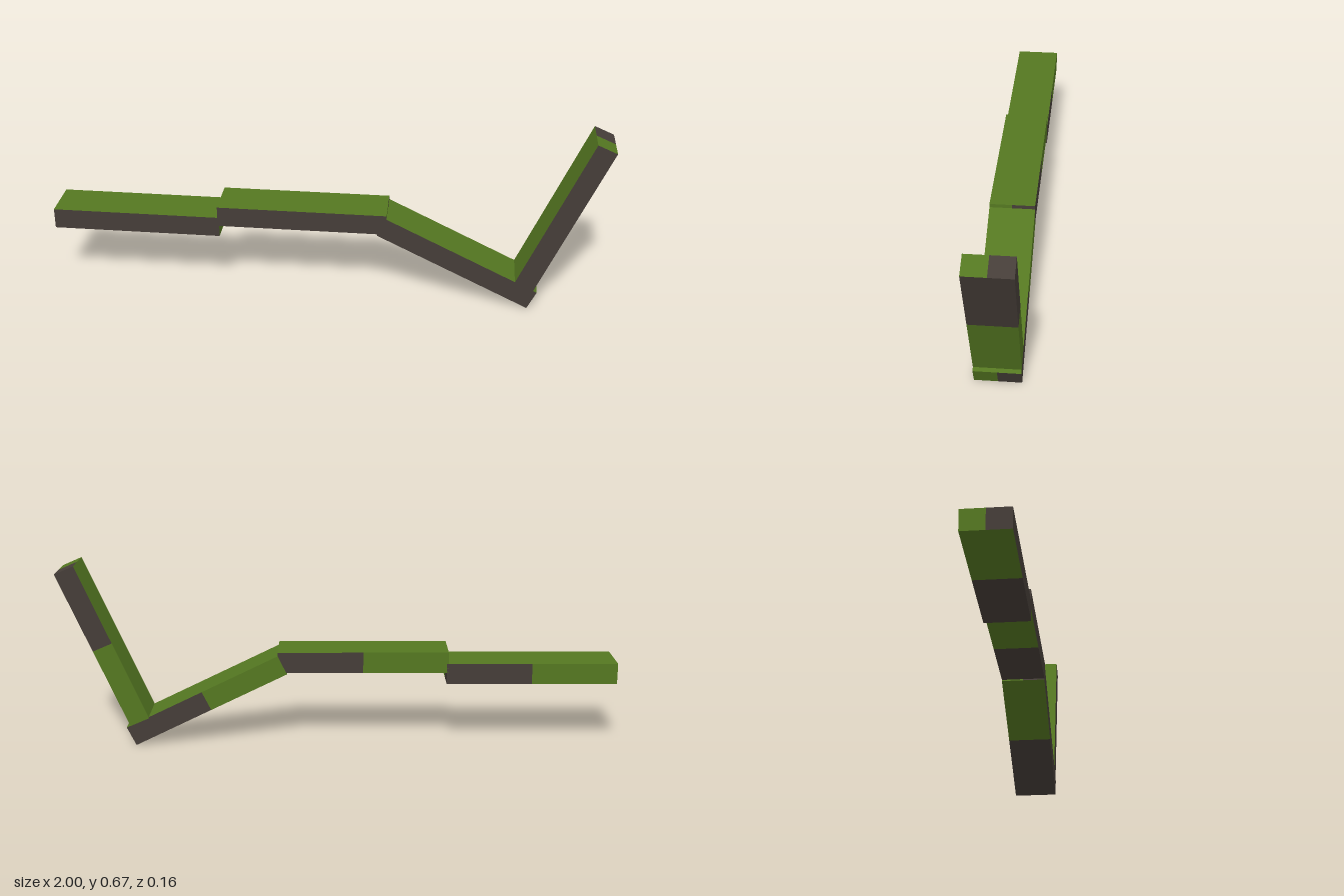
import * as THREE from 'three';

const LENGTH = 0.613, HEIGHT = 0.075, DEPTH = 0.16;

// Colour of each box cell, side by side: g = green, b = brown
// (right end, left end, top, underside, front, back)
const CELLS = 'gb' + 'gb' + 'gggg' + 'gbgb' + 'bb' + 'bg';

export function createModel() {
  const green = new THREE.MeshStandardMaterial({ color: 0x547721 });
  green.name = 'moss green';
  const brown = new THREE.MeshStandardMaterial({ color: 0x453d38 });
  brown.name = 'dark brown';

  // One shared plank, split in halves so each half face takes its own colour
  const plank = new THREE.BoxGeometry(LENGTH, HEIGHT, DEPTH, 2, 1, 2);
  plank.clearGroups();
  [...CELLS].forEach((c, i) => plank.addGroup(i * 6, 6, c === 'g' ? 0 : 1));

  // name, centre x, centre y, tilt in degrees
  const segments = [
    ['lowerFlatSegment', -0.6935, 0.271, 0],
    ['upperFlatSegment', -0.0865, 0.313, 0],
    ['slopingSegment', 0.479, 0.169, -26],
    ['risingSegment', 0.845, 0.37, 66.5],
  ];

  const model = new THREE.Group();
  model.name = 'bentChain';
  for (const [name, x, y, tilt] of segments) {
    const mesh = new THREE.Mesh(plank, [green, brown]);
    mesh.name = name;
    mesh.position.set(x, y, 0);
    mesh.rotation.z = THREE.MathUtils.degToRad(tilt);
    model.add(mesh);
  }
  return model;
}
